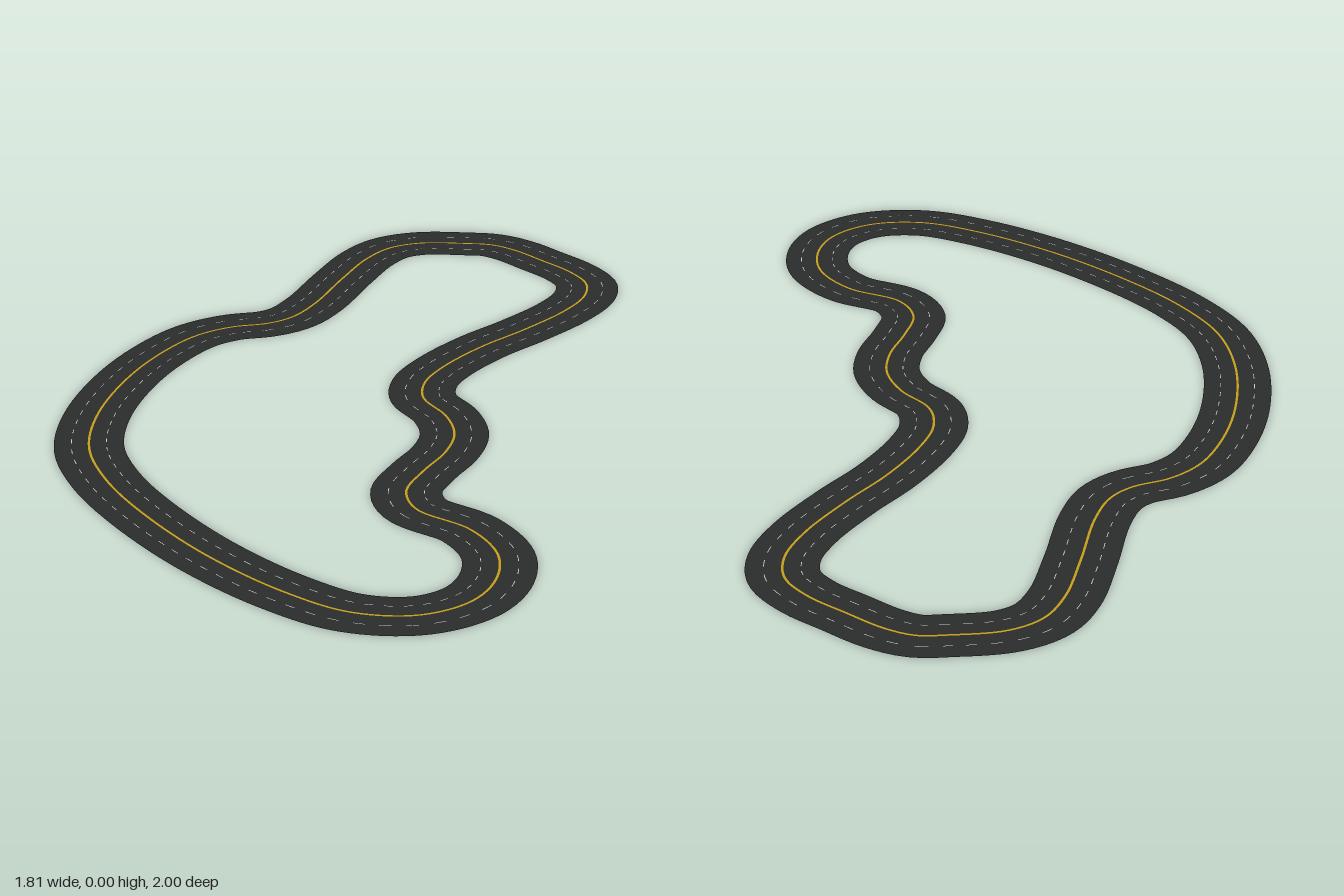
import * as THREE from 'three';

const HALF_WIDTH = 0.087;

// Centreline of the circuit as [x, z], clockwise seen from above
const CENTRE = [
  [-0.56, -0.912], [-0.45, -0.914], [-0.34, -0.912], [-0.25, -0.885], [-0.19, -0.815], [-0.157, -0.70],
  [-0.145, -0.53], [-0.145, -0.37], [-0.124, -0.21], [-0.087, -0.105], [-0.02, -0.036],
  [0.095, -0.005], [0.185, 0.052], [0.243, 0.14], [0.28, 0.25], [0.328, 0.352],
  [0.415, 0.4], [0.573, 0.378], [0.705, 0.417], [0.79, 0.51], [0.82, 0.62],
  [0.784, 0.742], [0.673, 0.842], [0.504, 0.89], [0.25, 0.908], [-0.02, 0.885],
  [-0.22, 0.84], [-0.383, 0.765], [-0.525, 0.627], [-0.646, 0.43], [-0.708, 0.26],
  [-0.726, 0.135], [-0.705, 0.035], [-0.655, -0.055], [-0.642, -0.13], [-0.668, -0.235],
  [-0.747, -0.41], [-0.808, -0.563], [-0.82, -0.665], [-0.785, -0.753], [-0.69, -0.848],
  [-0.635, -0.892],
];

const curve = new THREE.CatmullRomCurve3(
  CENTRE.map(([x, z]) => new THREE.Vector3(x, 0, z)), true, 'centripetal');
curve.arcLengthDivisions = 1500;

// Point at parameter u, shifted sideways from the centreline (positive = outer side)
function offsetPoint(u, offset, y) {
  const w = ((u % 1) + 1) % 1;
  const p = curve.getPointAt(w);
  const t = curve.getTangentAt(w);
  return [p.x + t.z * offset, y, p.z - t.x * offset];
}

// Flat strips that follow the curve; each span is [start, end, steps]
function ribbon(name, spans, offset, width, y, material) {
  const positions = [], normals = [], indices = [];
  for (const [start, end, steps] of spans) {
    const base = positions.length / 3;
    for (let i = 0; i <= steps; i++) {
      const u = start + (end - start) * i / steps;
      positions.push(...offsetPoint(u, offset + width / 2, y), ...offsetPoint(u, offset - width / 2, y));
      normals.push(0, 1, 0, 0, 1, 0);
      if (i < steps) {
        const a = base + i * 2;
        indices.push(a, a + 1, a + 2, a + 1, a + 3, a + 2);
      }
    }
  }
  const geometry = new THREE.BufferGeometry();
  geometry.setAttribute('position', new THREE.Float32BufferAttribute(positions, 3));
  geometry.setAttribute('normal', new THREE.Float32BufferAttribute(normals, 3));
  geometry.setIndex(indices);
  const mesh = new THREE.Mesh(geometry, material);
  mesh.name = name;
  return mesh;
}

export function createModel() {
  const group = new THREE.Group();
  group.name = 'raceCircuit';
  const paint = (color) => new THREE.MeshStandardMaterial({ color, side: THREE.DoubleSide });
  const asphalt = paint(0x2b2c2c), yellow = paint(0xc8a01c), white = paint(0xdddddd);

  // Road surface
  group.add(ribbon('roadSurface', [[0, 1, 300]], 0, HALF_WIDTH * 2, 0, asphalt));

  // Solid centre line
  group.add(ribbon('centreLine', [[0, 1, 300]], 0, 0.006, 0.001, yellow));

  // Dashed lane lines, halfway between the centre and each edge
  const count = 110;
  const dashes = Array.from({ length: count }, (_, i) => [i / count, (i + 0.45) / count, 2]);
  for (const [name, side] of [['outerLaneDashes', 1], ['innerLaneDashes', -1]]) {
    group.add(ribbon(name, dashes, side * HALF_WIDTH / 2, 0.002, 0.001, white));
  }
  return group;
}
